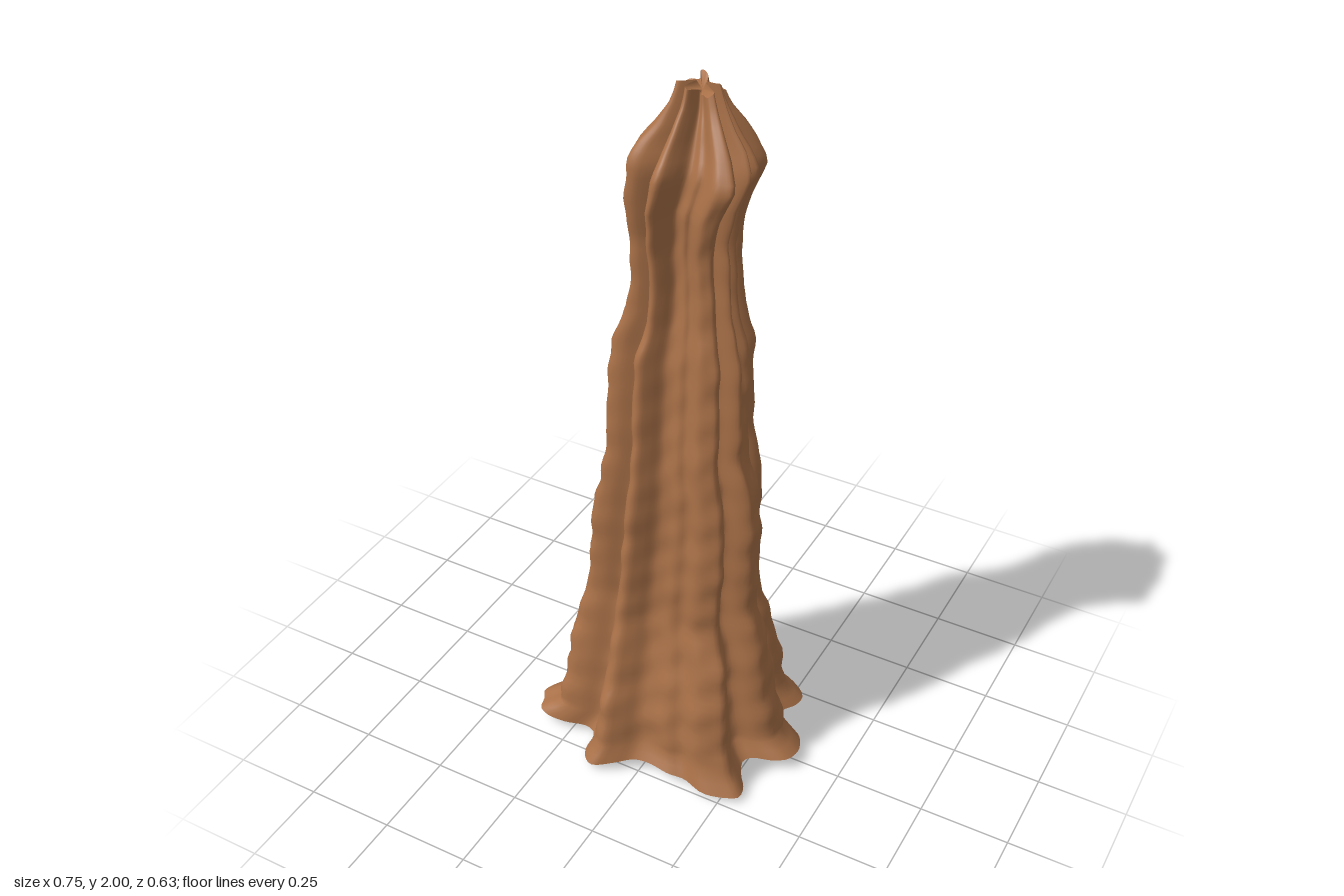
import * as THREE from 'three';

// Lobed footprint as x, z pairs, running from +x towards +z
const OUTLINE = [
  0.375, 0, 0.365, 0.045, 0.33, 0.07, 0.27, 0.087, 0.255, 0.105, 0.27, 0.145, 0.297, 0.185,
  0.3, 0.22, 0.27, 0.237, 0.205, 0.255, 0.14, 0.24, 0.095, 0.25, 0.03, 0.245, -0.015, 0.25,
  -0.065, 0.285, -0.115, 0.312, -0.145, 0.295, -0.165, 0.26, -0.17, 0.21, -0.18, 0.195,
  -0.205, 0.19, -0.27, 0.21, -0.325, 0.213, -0.352, 0.2, -0.362, 0.165, -0.377, 0.14,
  -0.36, 0.09, -0.325, 0.035, -0.315, 0, -0.32, -0.04, -0.335, -0.07, -0.325, -0.095,
  -0.355, -0.165, -0.275, -0.19, -0.195, -0.205, -0.18, -0.24, -0.182, -0.29, -0.157, -0.315,
  -0.11, -0.3, -0.02, -0.29, 0.06, -0.245, 0.095, -0.24, 0.175, -0.265, 0.265, -0.235,
  0.29, -0.21, 0.285, -0.175, 0.258, -0.135, 0.275, -0.11, 0.315, -0.09, 0.345, -0.07, 0.365, -0.035,
];

// Extents by height: [y, x min, x max, z min, z max, fold depth]
const PROFILE = [
  [0.03, -0.375, 0.375, -0.312, 0.312, 1],
  [0.08, -0.315, 0.318, -0.285, 0.285, 1],
  [0.2, -0.298, 0.295, -0.262, 0.265, 1.05],
  [0.4, -0.262, 0.262, -0.215, 0.218, 1.15],
  [0.5, -0.24, 0.228, -0.185, 0.192, 1.2],
  [0.8, -0.205, 0.235, -0.167, 0.185, 1.35],
  [0.92, -0.182, 0.225, -0.16, 0.18, 1.4],
  [1.0, -0.167, 0.202, -0.155, 0.175, 1.5],
  [1.3, -0.157, 0.195, -0.142, 0.15, 1.7],
  [1.4, -0.115, 0.168, -0.122, 0.128, 1.8],
  [1.5, -0.1, 0.157, -0.118, 0.12, 2],
  [1.6, -0.105, 0.152, -0.117, 0.122, 2.2],
  [1.7, -0.112, 0.178, -0.118, 0.14, 2.5],
  [1.8, -0.1, 0.222, -0.125, 0.145, 2.8],
  [1.85, -0.078, 0.198, -0.108, 0.115, 3.1],
  [1.9, -0.04, 0.16, -0.08, 0.085, 3.6],
  [1.95, -0.01, 0.125, -0.055, 0.055, 4.3],
  [1.985, 0.0, 0.11, -0.045, 0.045, 5],
];

const SIDES = 168;
const RINGS = 90;

function profileAt(y) {
  let i = 0;
  while (i < PROFILE.length - 2 && y > PROFILE[i + 1][0]) i++;
  const a = PROFILE[i], b = PROFILE[i + 1];
  const t = (y - a[0]) / (b[0] - a[0]);
  return a.map((v, k) => v + (b[k] - v) * t);
}

// Weathered surface ripple, periodic around the mound
function ripple(t, y) {
  return 0.011 * Math.sin(3 * t + 17 * y) + 0.01 * Math.sin(5 * t - 41 * y + 1.3)
    + 0.008 * Math.sin(9 * t + 63 * y + 2.1) + 0.006 * Math.sin(14 * t - 29 * y);
}

function buildRings() {
  const points = [];
  for (let i = 0; i < OUTLINE.length; i += 2) {
    points.push(new THREE.Vector3(OUTLINE[i] / 0.375, 0, OUTLINE[i + 1] / 0.312));
  }
  const loop = new THREE.CatmullRomCurve3(points, true, 'centripetal').getSpacedPoints(SIDES).slice(0, SIDES);
  const rings = [];
  for (let j = 0; j <= RINGS; j++) {
    const y = j < 3 ? 0.03 + j * 0.025 : 0.08 + (1.905 * (j - 2)) / (RINGS - 2);
    const [, x0, x1, z0, z1, fold] = profileAt(y);
    const fade = Math.min(1, j / 4);
    rings.push(loop.map((p) => {
      const t = Math.atan2(p.z, p.x);
      const k = Math.min(1, p.length());
      // folds deepen with height, plus a narrow groove on the +x side
      const groove = 1 - 0.3 * THREE.MathUtils.smoothstep(y, 0.6, 1.7) * Math.exp(-((t / 0.13) ** 2));
      const s = Math.pow(k, fold - 1) * groove * (1 + fade * ripple(t, y));
      const edge = j < 3 ? 0.012 * Math.sin(5 * t + 0.6) * (1 - j / 3) : 0;
      const tip = y > 1.9 ? 0.015 * Math.sin(3 * t + 1) * (y - 1.9) / 0.085 : 0;
      return new THREE.Vector3((x0 + x1) / 2 + (p.x * s * (x1 - x0)) / 2, y + edge + tip,
        (z0 + z1) / 2 + (p.z * s * (z1 - z0)) / 2);
    }));
  }
  return rings;
}

function geometryFrom(points, index) {
  const g = new THREE.BufferGeometry().setFromPoints(points);
  g.setIndex(index);
  g.computeVertexNormals();
  return g;
}

export function createModel() {
  const group = new THREE.Group();
  group.name = 'earthMound';
  const clay = new THREE.MeshStandardMaterial({ color: 0xaa7148 });
  clay.name = 'clay brown';
  const rings = buildRings();

  const add = (name, geometry) => {
    const mesh = new THREE.Mesh(geometry, clay);
    mesh.name = name;
    group.add(mesh);
  };

  // Folded wall
  const wall = [];
  for (let j = 0; j < RINGS; j++) {
    for (let i = 0; i < SIDES; i++) {
      const a = j * SIDES + i, b = j * SIDES + ((i + 1) % SIDES);
      wall.push(a, a + SIDES, b, b, a + SIDES, b + SIDES);
    }
  }
  add('moundWall', geometryFrom(rings.flat(), wall));

  // Underside and star-shaped tip, each a fan around a centre point
  const under = [], tip = [];
  for (let i = 0; i < SIDES; i++) {
    const n = (i + 1) % SIDES;
    under.push(SIDES, i, n);
    tip.push(SIDES, n, i);
  }
  add('underside', geometryFrom([...rings[0], new THREE.Vector3(0, 0, 0)], under));
  add('tip', geometryFrom([...rings[RINGS], new THREE.Vector3(0.055, 1.975, 0)], tip));
  return group;
}
